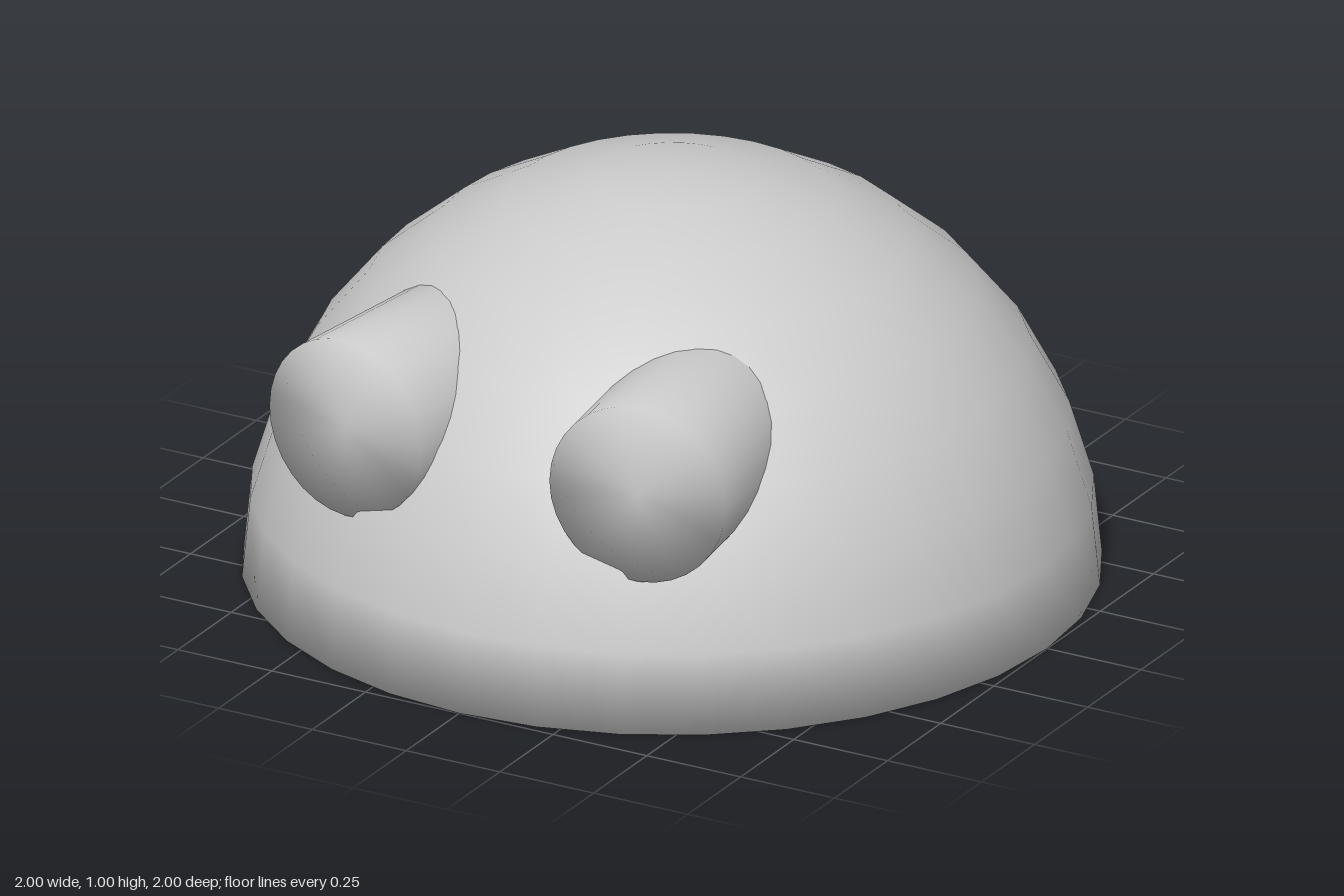
import * as THREE from 'three';
import { mergeGeometries, mergeVertices } from 'three/addons/utils/BufferGeometryUtils.js';

const material = new THREE.MeshStandardMaterial({ color: 0xcccccc });

// Joins geometries into one skin with normals averaged over every edge
function softSkin(...parts) {
  for (const part of parts) {
    part.deleteAttribute('normal');
    part.deleteAttribute('uv');
  }
  const skin = mergeVertices(mergeGeometries(parts), 1e-4);
  skin.computeVertexNormals();
  return skin;
}

// Half ball closed by a flat base, softly shaded around the rim
function makeDome() {
  const shell = new THREE.SphereGeometry(1, 32, 8, 0, Math.PI * 2, 0, Math.PI / 2);
  const base = new THREE.CircleGeometry(1, 32).rotateX(Math.PI / 2);
  const skin = softSkin(shell, base);
  const { position, normal } = skin.attributes;
  const v = new THREE.Vector3();
  for (let i = 0; i < position.count; i++) {
    v.fromBufferAttribute(position, i);
    if (v.y > 0.01 || v.length() < 0.5) continue;
    v.y = -0.8;
    v.normalize();
    normal.setXYZ(i, v.x, v.y, v.z);
  }
  const dome = new THREE.Mesh(skin, material);
  dome.name = 'domeBody';
  return dome;
}

// Round peg whose flat front turns slightly outward; its back is sunk in the dome
function makeEye(side) {
  const length = 0.6;
  const peg = new THREE.CylinderGeometry(0.22, 0.22, length, 32)
    .rotateX(Math.PI / 2)
    .translate(0, 0, -length / 2);
  const eye = new THREE.Mesh(softSkin(peg), material);
  eye.name = side > 0 ? 'leftEye' : 'rightEye';
  eye.position.set(side * 0.39, 0.58, 0.85);
  eye.rotation.y = side * 0.135;
  return eye;
}

export function createModel() {
  const model = new THREE.Group();
  model.name = 'domeCreature';
  model.add(makeDome(), makeEye(1), makeEye(-1));
  return model;
}
